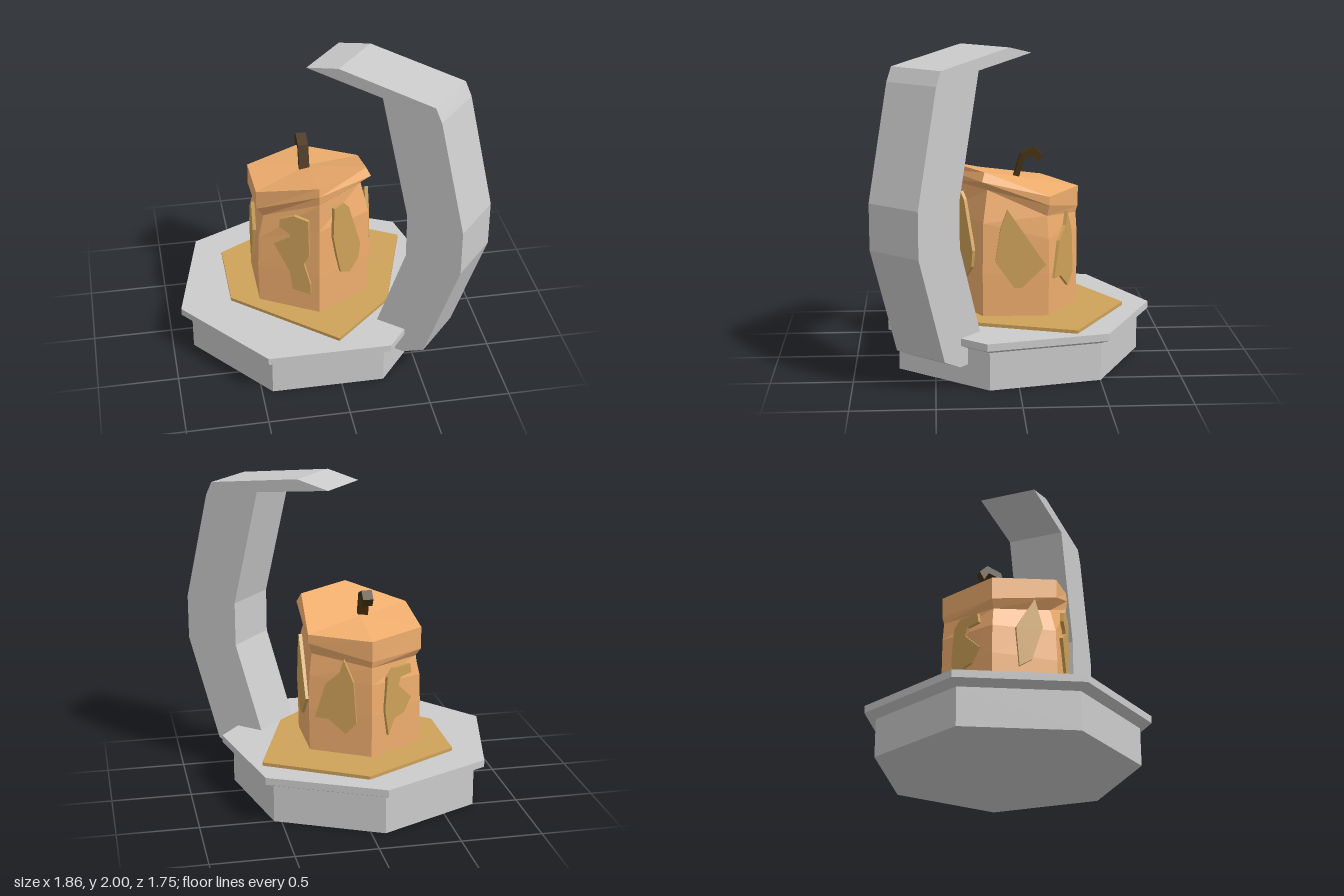
import * as THREE from 'three';

const material = (color) => new THREE.MeshStandardMaterial({ color, flatShading: true, side: THREE.DoubleSide });
const grey = material(0xcccccc), orange = material(0xf0ae6e), ochre = material(0xcfa25a), brown = material(0x46300f);
const CX = -0.085; // shared axis of the plinth and the gourd

function addMesh(group, name, geometry, mat) {
  const mesh = new THREE.Mesh(geometry, mat);
  mesh.name = name;
  group.add(mesh);
  return mesh;
}

function slab(points, depth) {
  const shape = new THREE.Shape(points.map(([x, y]) => new THREE.Vector2(x, y)));
  return new THREE.ExtrudeGeometry(shape, { depth, bevelEnabled: false });
}

// Six-sided solid from rings; y and r may be one value or one per corner
function hexLoft(rings, topCentre) {
  const pos = [], index = [], at = (v, k) => (Array.isArray(v) ? v[k] : v);
  for (const { y, r } of rings) {
    for (let k = 0; k < 6; k++) {
      const a = k * Math.PI / 3;
      pos.push(at(r, k) * Math.sin(a), at(y, k), at(r, k) * Math.cos(a));
    }
  }
  pos.push(...topCentre);
  const top = (rings.length - 1) * 6;
  for (let k = 0; k < 6; k++) {
    const n = (k + 1) % 6;
    for (let j = 0; j < top; j += 6) index.push(j + k, j + n, j + 6 + n, j + k, j + 6 + n, j + 6 + k);
    index.push(top + k, top + n, top + 6);
  }
  const g = new THREE.BufferGeometry();
  g.setAttribute('position', new THREE.Float32BufferAttribute(pos, 3));
  g.setIndex(index);
  const flat = g.toNonIndexed();
  flat.computeVertexNormals();
  return flat;
}

export function createModel() {
  const model = new THREE.Group();
  model.name = 'carvedGourdStand';

  // Seven-sided plinth with an overhanging rim
  const profile = [[0, 0], [0.805, 0], [0.805, 0.235], [0.875, 0.265], [0.875, 0.31], [0, 0.31]]
    .map(([r, y]) => new THREE.Vector2(r, y));
  addMesh(model, 'plinth', new THREE.LatheGeometry(profile, 7, Math.PI), grey).position.x = CX;

  // Uneven six-sided mat, outline as x and -z
  const mat = slab([[-0.01, -0.69], [0.365, -0.34], [0.59, 0.355], [-0.01, 0.7], [-0.615, 0.355], [-0.615, -0.16]], 0.021);
  addMesh(model, 'mat', mat.rotateX(-Math.PI / 2), ochre).position.y = 0.31;

  // Curved arm rising from the corner of the plinth and ending in a sharp tip
  const arm = slab([
    [0, 1.95], [0.51, 1.89], [0.694, 1.146], [0.694, 0.865], [0.49, 0.25], [0.5, 0.133], [0.70, 0.133],
    [0.84, 0.2], [1.06, 0.865], [1.06, 1.146], [0.89, 1.835], [0.848, 1.92], [0.218, 2.0],
  ], 0.378).translate(0, 0, -0.189);
  const armMesh = addMesh(model, 'arm', arm, grey);
  armMesh.rotation.y = -0.712;
  armMesh.position.z = 0.04;

  // Gourd body with a tilted lid above a pinched neck (corners: front, then towards +x)
  const gourd = new THREE.Group();
  gourd.name = 'gourd';
  gourd.position.x = CX;
  model.add(gourd);
  addMesh(gourd, 'bodyAndLid', hexLoft([
    { y: 0.33, r: 0.405 },
    { y: 0.6, r: 0.41 },
    { y: [0.94, 0.92, 0.82, 0.8, 0.78, 0.8], r: [0.405, 0.4, 0.405, 0.408, 0.405, 0.4] },
    { y: [1.13, 1.12, 0.96, 0.91, 0.9, 0.95], r: [0.405, 0.345, 0.385, 0.4, 0.375, 0.36] },
    { y: [1.19, 1.18, 1.03, 0.95, 0.95, 1.02], r: 0.412 },
    { y: [1.245, 1.235, 1.085, 1.08, 1.09, 1.14], r: [0.405, 0.38, 0.412, 0.415, 0.412, 0.412] },
  ], [0, 1.14, -0.05]), orange);

  // Hooked stem, outline as -z and y
  const stem = slab([[0, 1.13], [0.05, 1.29], [0.14, 1.327], [0.19, 1.28], [0.16, 1.23], [0.13, 1.278], [0.075, 1.257], [0.035, 1.13]], 0.065);
  const stemMesh = addMesh(gourd, 'stem', stem.rotateY(Math.PI / 2), brown);
  stemMesh.position.x = -0.055;

  // One carved panel on each face, outline as distance along the face and y
  const panels = [
    ['frontLeftPanel', 30, [[-0.1, 1.07], [-0.027, 1.087], [0.016, 1.04], [0.053, 0.92], [0.114, 0.73], [0.1, 0.626],
      [0.028, 0.55], [-0.045, 0.58], [-0.08, 0.73], [-0.106, 0.865]]],
    ['leftPanel', 90, [[-0.053, 1.01], [0.186, 0.66], [0.037, 0.515], [-0.01, 0.515], [-0.127, 0.68], [-0.095, 0.89]]],
    ['backLeftPanel', 150, [[0.027, 0.95], [0.09, 0.81], [0.11, 0.546], [0.04, 0.47], [-0.07, 0.557], [-0.16, 0.56],
      [-0.09, 0.785], [0, 0.865]]],
    ['backRightPanel', 210, [[-0.09, 0.83], [-0.04, 0.88], [0.1, 0.88], [0.11, 0.82], [0.02, 0.81], [0, 0.76],
      [0.11, 0.66], [0.05, 0.57], [-0.03, 0.55], [-0.08, 0.45], [-0.11, 0.62]]],
    ['rightPanel', 270, [[0.06, 0.98], [0.11, 0.8], [0.04, 0.58], [-0.04, 0.53], [-0.06, 0.78]]],
    ['frontRightPanel', 330, [[-0.046, 0.99], [0.046, 1.03], [0.137, 1.01], [0.143, 0.76], [0.107, 0.69], [0.15, 0.546],
      [0.15, 0.47], [0.033, 0.483], [0.015, 0.61], [-0.089, 0.8], [0.02, 0.875], [0.01, 0.9], [-0.052, 0.93]]],
  ];
  for (const [name, degrees, outline] of panels) {
    const panel = addMesh(gourd, name, slab(outline, 0.022).translate(0, 0, 0.35), ochre);
    panel.rotation.y = THREE.MathUtils.degToRad(degrees);
  }
  return model;
}
